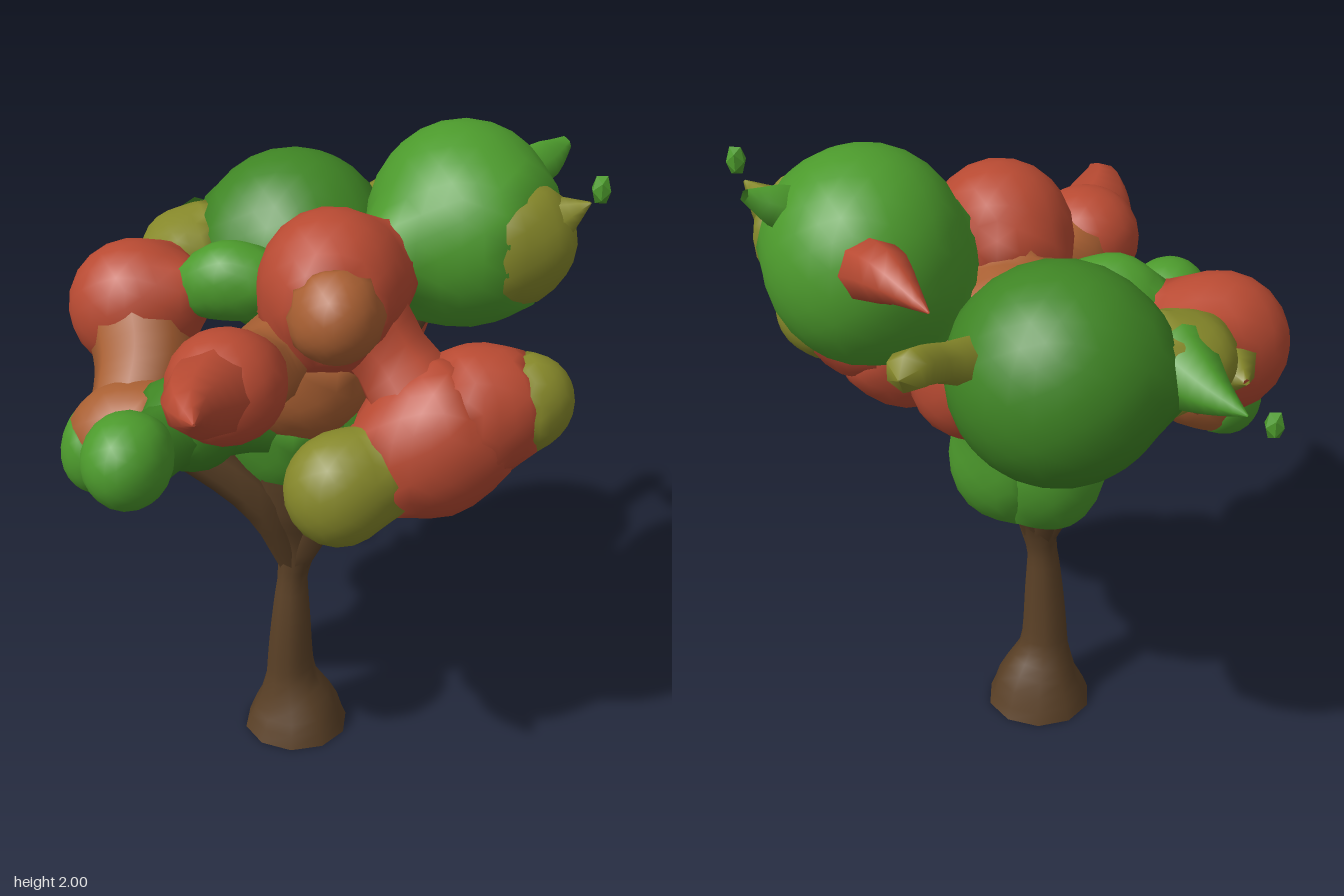
import * as THREE from 'three';
import { mergeVertices } from 'three/addons/utils/BufferGeometryUtils.js';

const GREEN = 0x4c9a2c, DARK = 0x3f8524, RED = 0xb84a32, OLIVE = 0x86882a, ORANGE = 0xa85f32, BROWN = 0x5a4026;

// Foliage clumps: name, centre, radii, colour
const LOBES = [
  ['topClump', [0.39, 1.69, -0.22], [0.29, 0.31, 0.31], GREEN],
  ['topFrontClump', [0.52, 1.69, -0.07], [0.20, 0.17, 0.14], OLIVE],
  ['backClump', [-0.15, 1.49, -0.54], [0.31, 0.31, 0.30], DARK],
  ['middleClump', [0.03, 1.61, 0.12], [0.22, 0.23, 0.22], RED],
  ['middleBud', [0.06, 1.60, 0.34], [0.11, 0.12, 0.11], ORANGE],
  ['saddleClump', [-0.04, 1.48, -0.16], [0.17, 0.15, 0.17], ORANGE],
  ['sideClump', [-0.60, 1.41, -0.17], [0.21, 0.21, 0.19], RED],
  ['sideLowerClump', [-0.57, 1.14, 0.15], [0.16, 0.16, 0.16], ORANGE],
  ['sideLowerTip', [-0.69, 1.06, 0.16], [0.09, 0.11, 0.11], GREEN],
  ['frontSideClump', [-0.51, 1.23, 0.51], [0.13, 0.14, 0.15], GREEN],
  ['innerSideClump', [-0.36, 1.22, 0.22], [0.14, 0.15, 0.16], DARK],
  ['frontClump', [-0.23, 1.46, 0.49], [0.17, 0.16, 0.18], RED],
  ['largeSideClump', [0.33, 1.20, 0.26], [0.21, 0.23, 0.20], RED],
  ['largeSideOuter', [0.47, 1.30, 0.22], [0.16, 0.18, 0.17], RED],
  ['largeSideTip', [0.63, 1.32, 0.21], [0.10, 0.12, 0.11], OLIVE],
  ['lowerFrontClump', [0.07, 1.10, 0.39], [0.16, 0.17, 0.15], OLIVE],
  ['lowCentreClump', [-0.14, 1.00, -0.13], [0.16, 0.24, 0.17], GREEN],
  ['lowSideClump', [0.03, 1.00, -0.11], [0.15, 0.21, 0.16], GREEN],
  ['lowFrontClump', [-0.13, 1.12, 0.03], [0.16, 0.20, 0.13], GREEN],
  ['underClump', [0.11, 1.32, -0.24], [0.17, 0.18, 0.16], RED],
  ['backSideClump', [-0.49, 1.50, -0.46], [0.14, 0.12, 0.16], OLIVE],
  ['innerBackClump', [-0.30, 1.53, -0.11], [0.13, 0.12, 0.11], GREEN],
  ['coreClump', [-0.05, 1.34, 0.10], [0.18, 0.18, 0.17], ORANGE],
];

// Approximate distance to one clump
function lobeDistance(p, [, c, r]) {
  const v = [(p.x - c[0]) / r[0], (p.y - c[1]) / r[1], (p.z - c[2]) / r[2]];
  return (Math.hypot(...v) - 1) * Math.min(...r);
}

// Soft union, so neighbouring clumps swell into each other
function canopyDistance(p) {
  const k = 0.11;
  let d = 1;
  for (const lobe of LOBES) {
    const e = lobeDistance(p, lobe);
    const h = Math.max(k - Math.abs(d - e), 0) / k;
    d = Math.min(d, e) - h * h * k / 4;
  }
  return d;
}

function clump(lobe) {
  const [name, c, r, color] = lobe;
  let geo = new THREE.IcosahedronGeometry(1, Math.max(...r) > 0.28 ? 4 : 3);
  geo.deleteAttribute('uv');
  geo.deleteAttribute('normal');
  geo = mergeVertices(geo, 1e-4);
  const pos = geo.attributes.position, p = new THREE.Vector3(), dir = new THREE.Vector3();
  for (let i = 0; i < pos.count; i++) {
    dir.fromBufferAttribute(pos, i);
    p.set(c[0] + dir.x * r[0], c[1] + dir.y * r[1], c[2] + dir.z * r[2]);
    // Buried vertices stay put; outer ones move out to the blended surface
    const buried = LOBES.some((o) => o !== lobe && lobeDistance(p, o) < -0.03);
    for (let n = 0; n < 4 && !buried; n++) p.addScaledVector(dir, -canopyDistance(p) * 0.8);
    // Tuck in where a neighbour owns the surface, so the seam is clean
    const own = lobeDistance(p, lobe);
    if (LOBES.some((o) => lobeDistance(p, o) < own - 0.01)) p.addScaledVector(dir, -0.02);
    pos.setXYZ(i, p.x, p.y, p.z);
  }
  geo.computeVertexNormals();
  const mesh = new THREE.Mesh(geo, new THREE.MeshStandardMaterial({ color }));
  mesh.name = name;
  return mesh;
}

// Tapered limb through [x, y, z, radius] stations
function limb(name, stations, color, sides = 8, rings = 8) {
  const curve = new THREE.CatmullRomCurve3(stations.map((s) => new THREE.Vector3(s[0], s[1], s[2])));
  const geo = new THREE.TubeGeometry(curve, rings, 1, sides);
  const pos = geo.attributes.position, p = new THREE.Vector3(), n = stations.length - 1;
  for (let i = 0; i <= rings; i++) {
    const centre = curve.getPointAt(i / rings);
    const t = curve.getUtoTmapping(i / rings) * n, k = Math.min(Math.floor(t), n - 1);
    const radius = THREE.MathUtils.lerp(stations[k][3], stations[k + 1][3], t - k);
    for (let j = 0; j <= sides; j++) {
      const id = i * (sides + 1) + j;
      p.fromBufferAttribute(pos, id).sub(centre).multiplyScalar(radius).add(centre);
      pos.setXYZ(id, p.x, p.y, p.z);
    }
  }
  geo.deleteAttribute('uv');
  geo.deleteAttribute('normal');
  const smooth = mergeVertices(geo, 1e-4);
  smooth.computeVertexNormals();
  const mesh = new THREE.Mesh(smooth, new THREE.MeshStandardMaterial({ color, side: THREE.DoubleSide }));
  mesh.name = name;
  return mesh;
}

export function createModel() {
  const tree = new THREE.Group();
  tree.name = 'tree';

  // Trunk with a flared foot, widening again into the fork
  tree.add(limb('trunk', [[-0.1, 0, 0, 0.17], [-0.1, 0.08, 0, 0.14], [-0.115, 0.21, 0.01, 0.08], [-0.112, 0.42, 0.018, 0.064],
    [-0.105, 0.58, 0.015, 0.048], [-0.09, 0.7, 0.01, 0.065], [-0.09, 0.82, 0, 0.12], [-0.09, 0.97, 0, 0.15]], BROWN, 10, 24));

  // Branches spreading into the clumps
  const branches = [
    [[0.0, 0.85, 0.07], [0.2, 1.15, 0.22]],
    [[-0.2, 0.88, 0.08], [-0.5, 1.15, 0.15]],
    [[-0.26, 0.97, -0.03], [-0.55, 1.36, -0.15]],
    [[-0.14, 1.0, -0.15], [-0.15, 1.35, -0.45]],
    [[0.04, 1.05, -0.1], [0.32, 1.55, -0.2]],
  ];
  for (const [mid, end] of branches)
    tree.add(limb('branch', [[-0.1, 0.62, 0.015, 0.045], [...mid, 0.065], [...end, 0.06]], BROWN, 6));

  // Canopy
  for (const lobe of LOBES) tree.add(clump(lobe));

  // Foliage necks linking the outer clumps
  tree.add(limb('leafyNeck', [[-0.58, 1.15, 0.12, 0.13], [-0.56, 1.28, -0.02, 0.15], [-0.6, 1.4, -0.15, 0.16]], ORANGE));
  tree.add(limb('leafyNeck', [[-0.36, 1.22, 0.22, 0.11], [-0.44, 1.22, 0.36, 0.1], [-0.5, 1.23, 0.5, 0.11]], DARK));
  tree.add(limb('leafyNeck', [[-0.2, 1.45, 0.45, 0.13], [-0.16, 1.42, 0.27, 0.12], [-0.06, 1.45, 0.1, 0.13]], ORANGE));
  tree.add(limb('leafyNeck', [[-0.36, 1.2, 0.22, 0.11], [-0.24, 1.18, 0.12, 0.11], [-0.12, 1.14, 0.04, 0.11]], DARK));
  tree.add(limb('leafyNeck', [[0.05, 1.6, 0.12, 0.16], [0.2, 1.42, 0.17, 0.12], [0.33, 1.25, 0.25, 0.16]], RED));

  // Pointed sprays
  tree.add(limb('frontSpray', [[-0.23, 1.46, 0.5, 0.14], [-0.27, 1.5, 0.66, 0.11], [-0.28, 1.53, 0.78, 0.07], [-0.25, 1.545, 0.9, 0.004]], RED));
  tree.add(limb('backSpray', [[0.38, 1.74, -0.42, 0.1], [0.29, 1.78, -0.58, 0.075], [0.18, 1.75, -0.72, 0.004]], RED));
  tree.add(limb('backTwig', [[0.04, 1.56, -0.6, 0.08], [0.15, 1.62, -0.74, 0.055], [0.22, 1.65, -0.84, 0.06], [0.24, 1.65, -0.89, 0.045], [0.242, 1.65, -0.9, 0.002]], OLIVE, 6, 12));
  tree.add(limb('backSideSpray', [[-0.46, 1.51, -0.52, 0.13], [-0.55, 1.49, -0.65, 0.06], [-0.63, 1.48, -0.74, 0.004]], GREEN));
  tree.add(limb('topSpray', [[0.52, 1.82, -0.26, 0.08], [0.63, 1.87, -0.31, 0.06], [0.69, 1.91, -0.35, 0.02]], GREEN, 5));
  tree.add(limb('topSideSpray', [[0.58, 1.72, -0.1, 0.12], [0.67, 1.77, -0.07, 0.07], [0.75, 1.83, -0.03, 0.004]], OLIVE, 6));
  tree.add(limb('sideSpray', [[-0.6, 1.42, -0.24, 0.13], [-0.63, 1.42, -0.35, 0.08], [-0.66, 1.42, -0.44, 0.01]], OLIVE, 6));

  // Loose leaves
  for (const [x, y, z] of [[0.775, 1.88, 0.0], [-0.74, 1.31, -0.48]]) {
    const leaf = new THREE.Mesh(new THREE.IcosahedronGeometry(0.036, 0),
      new THREE.MeshStandardMaterial({ color: GREEN, flatShading: true }));
    leaf.name = 'looseLeaf';
    leaf.scale.set(0.85, 1.3, 0.9);
    leaf.position.set(x, y, z);
    tree.add(leaf);
  }
  return tree;
}
